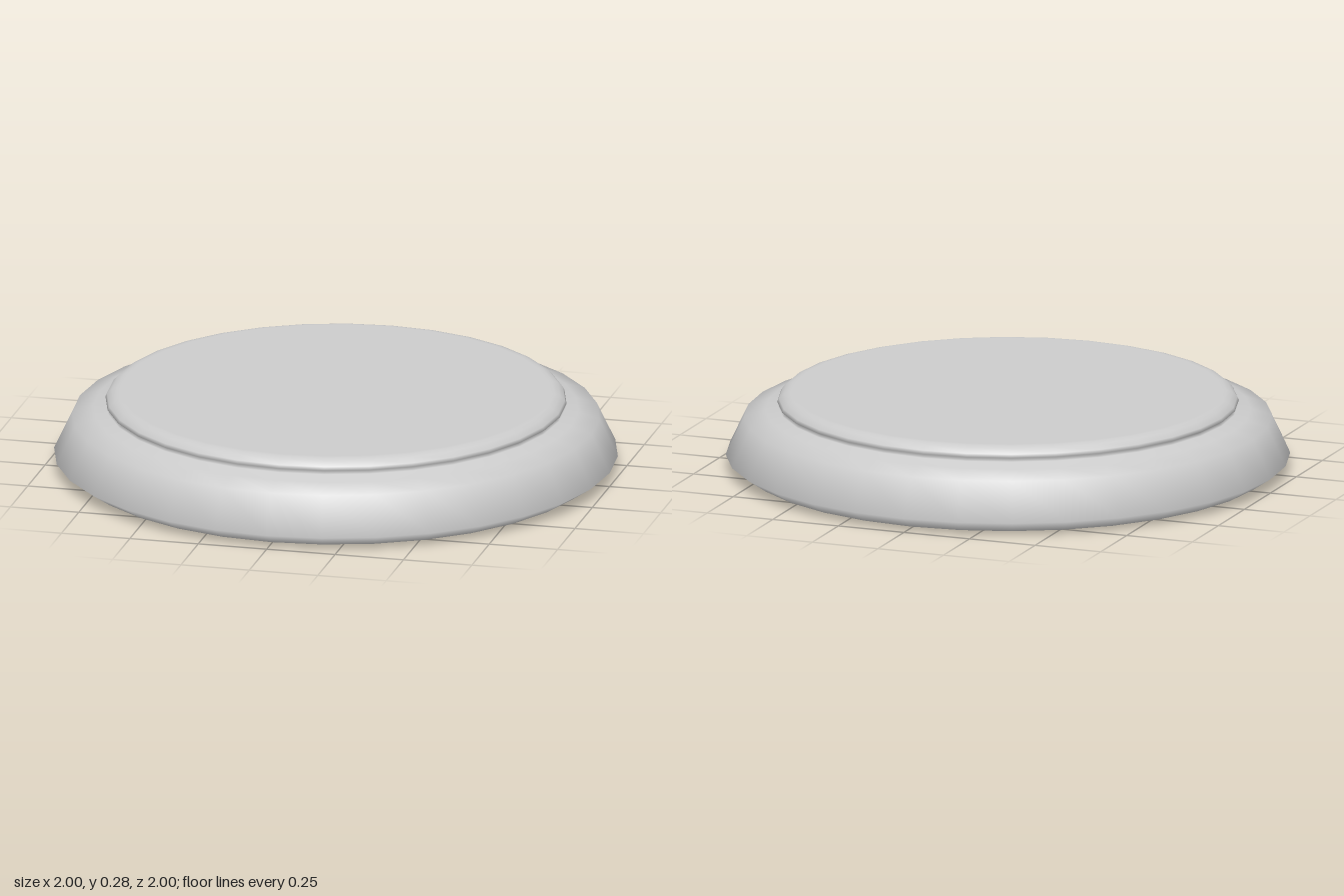
import * as THREE from 'three';

export function createModel() {
  const group = new THREE.Group();
  group.name = 'roundBase';
  const material = new THREE.MeshStandardMaterial({ color: 0xcccccc });

  // Profile from the centre of the underside, round the rim, to the centre of the top
  const profile = [
    [0, 0], [0.9, 0], [0.935, 0.006],                  // underside and its small bevel
    [1, 0.05], [0.935, 0.188],                         // flared skirt
    [0.86, 0.213], [0.815, 0.228],                     // sloping shoulder
    [0.803, 0.234], [0.818, 0.243], [0.812, 0.255],    // groove and bead
    [0.795, 0.272], [0.775, 0.278], [0.76, 0.279], [0, 0.279], // rounded edge and flat top
  ].map(([r, y]) => new THREE.Vector2(r, y));

  const plinth = new THREE.Mesh(new THREE.LatheGeometry(profile, 32), material);
  plinth.name = 'plinth';
  group.add(plinth);
  return group;
}
